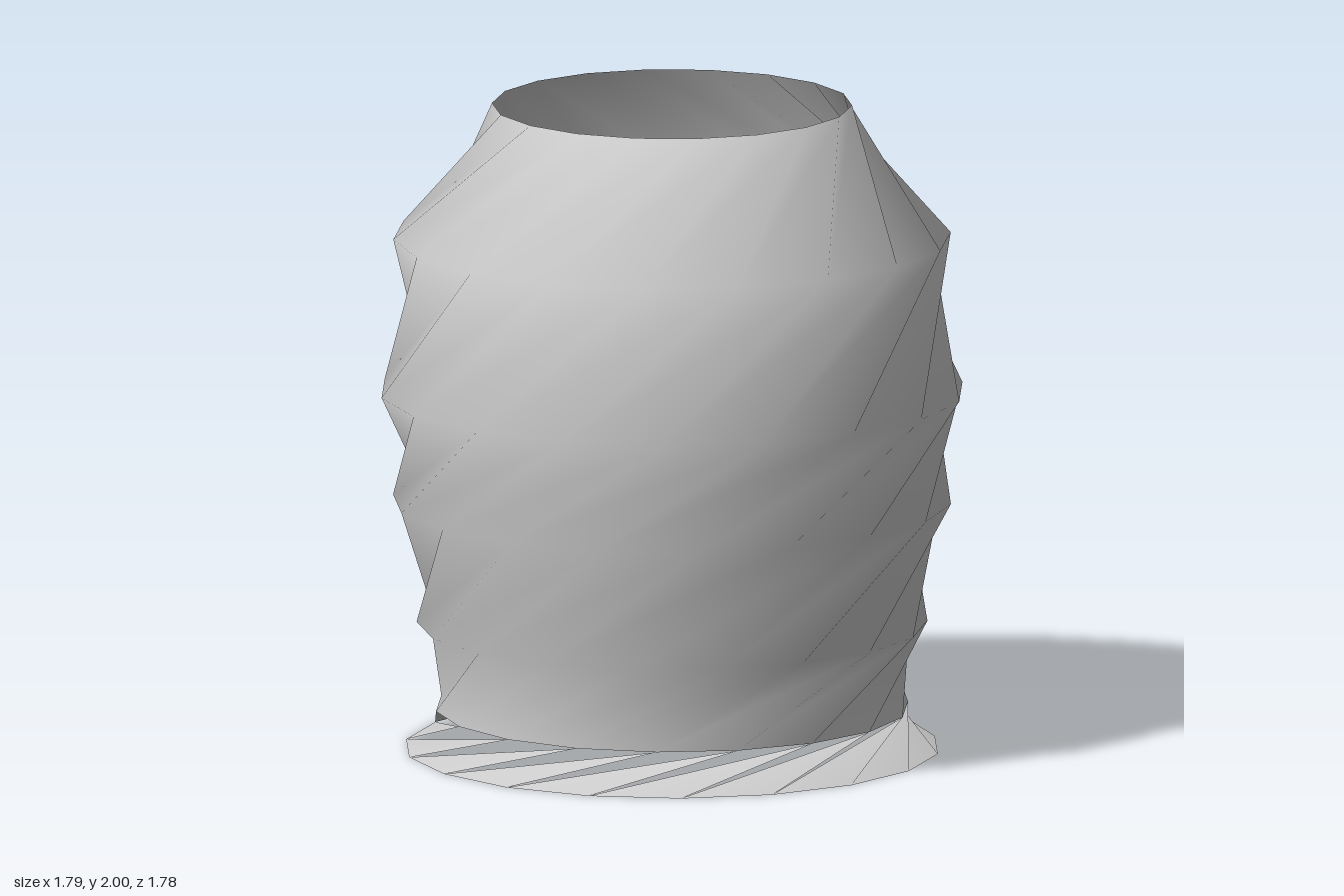
import * as THREE from 'three';

const SIDES = 18;

// Rings from the foot to the mouth: height, radius, twist in degrees
const RINGS = [
  [0, 0.82, 0],
  [0.125, 0.725, -34.4],
  [0.39, 0.78, -68.8],
  [0.77, 0.855, -103],
  [1.11, 0.896, -136.3],
  [1.59, 0.853, -172],
  [2, 0.55, -206.2],
];

// Twisted loft through the rings; an open lattice keeps only the lower triangle of each cell
function twistedLoft(rings, lattice = false) {
  const positions = [];
  const index = [];
  for (const [y, r, twist] of rings) {
    for (let k = 0; k < SIDES; k++) {
      const a = THREE.MathUtils.degToRad(twist + (k * 360) / SIDES);
      positions.push(r * Math.cos(a), y, r * Math.sin(a));
    }
  }
  for (let i = 0; i < rings.length - 1; i++) {
    for (let k = 0; k < SIDES; k++) {
      const n = (k + 1) % SIDES;
      const low = i * SIDES;
      const high = low + SIDES;
      index.push(low + n, low + k, high + k);
      if (!lattice) index.push(low + n, high + k, high + n);
    }
  }
  const geometry = new THREE.BufferGeometry();
  geometry.setAttribute('position', new THREE.Float32BufferAttribute(positions, 3));
  geometry.setIndex(index);
  geometry.computeVertexNormals();
  return geometry;
}

export function createModel() {
  const group = new THREE.Group();
  group.name = 'twistedVase';
  const material = new THREE.MeshStandardMaterial({ color: 0xcccccc, side: THREE.DoubleSide });

  // Closed wall, open at the mouth
  const wall = new THREE.Mesh(twistedLoft(RINGS.slice(1)), material);
  wall.name = 'vaseWall';

  // Flared foot of slanted blades with slits between them
  const foot = new THREE.Mesh(twistedLoft(RINGS.slice(0, 2), true), material);
  foot.name = 'slittedFoot';

  group.add(wall, foot);
  return group;
}
